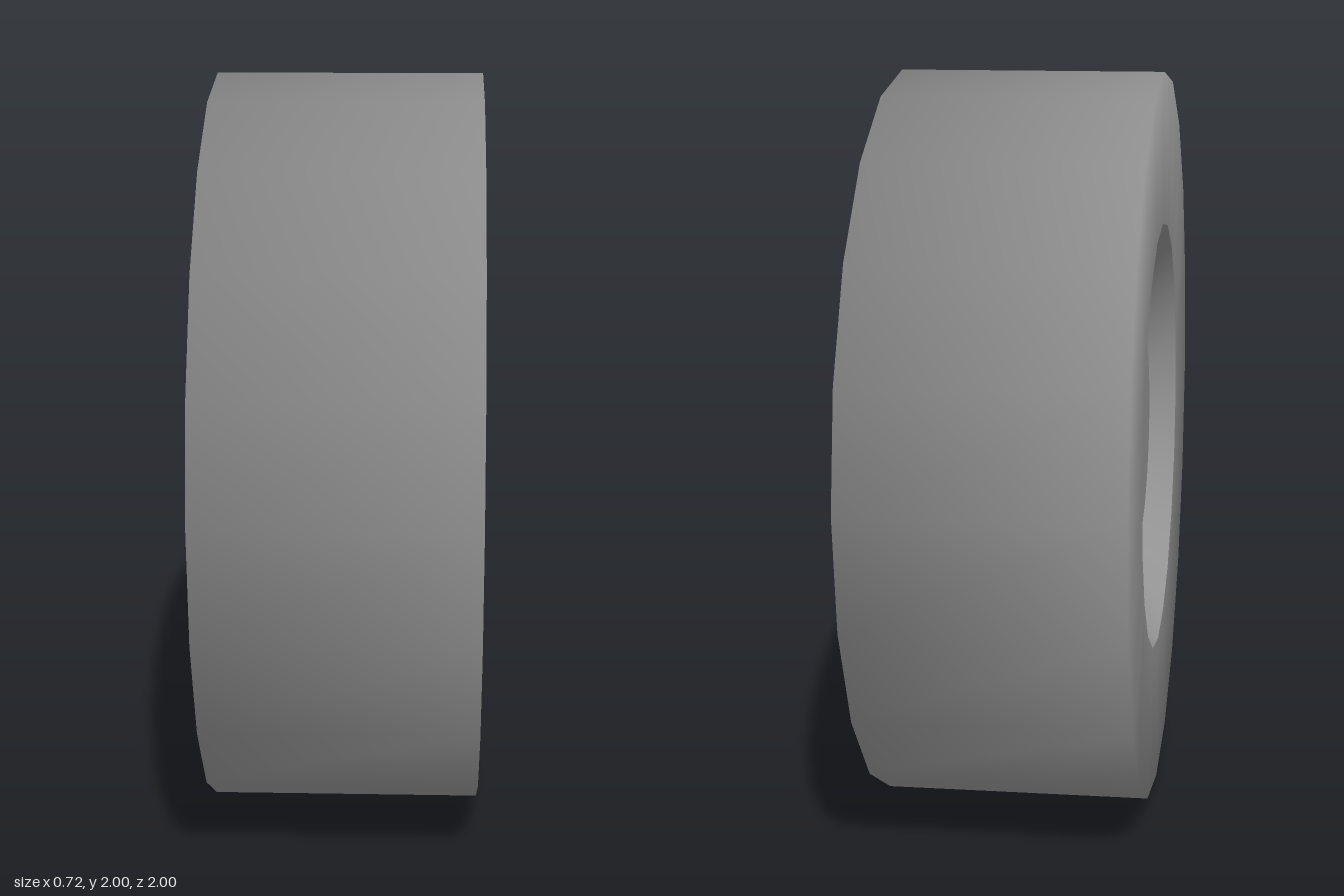
import * as THREE from 'three';

const SIDES = 20;
const HALF_WIDTH = 0.358;
const GROOVE = 0.205;
const CAP = 0.303;
const material = new THREE.MeshStandardMaterial({ color: 0x9d9d9d });

// Revolve [radius, height] points; separate lathes meet in sharp creases.
function ring(name, points) {
  const profile = points.map(([r, h]) => new THREE.Vector2(r, h));
  const mesh = new THREE.Mesh(new THREE.LatheGeometry(profile, SIDES), material);
  mesh.name = name;
  return mesh;
}

// Lean the shoulder normals towards the sidewall for a soft, flat-sided tyre.
function softenShoulders({ attributes: { position, normal } }) {
  const n = new THREE.Vector3();
  for (let i = 0; i < position.count; i++) {
    n.fromBufferAttribute(position, i);
    if (Math.hypot(n.x, n.z) < 0.9) continue;
    n.y = 1.5 * Math.sign(n.y);
    n.normalize();
    normal.setXYZ(i, n.x, n.y, n.z);
  }
}

export function createModel() {
  const wheel = new THREE.Group();
  wheel.name = 'wheel';

  // Tyre: tread and both sidewalls, shaded smoothly over the shoulders
  const tyre = ring('tyre', [
    [0.59, -HALF_WIDTH], [1, -HALF_WIDTH], [1, HALF_WIDTH], [0.59, HALF_WIDTH],
  ]);
  softenShoulders(tyre.geometry);
  tyre.rotation.z = -Math.PI / 2;
  wheel.add(tyre);

  // Rim on each side: sloping recess, raised hub cone and flat hub cap
  for (const side of [1, -1]) {
    const rim = new THREE.Group();
    rim.name = side > 0 ? 'leftRim' : 'rightRim';
    rim.add(
      ring('rimSlope', [[0.59, HALF_WIDTH], [0.42, GROOVE]]),
      ring('hubCone', [[0.42, GROOVE], [0.297, CAP]]),
      ring('hubCap', [[0.297, CAP], [0, CAP]]),
    );
    rim.rotation.z = -side * Math.PI / 2;
    wheel.add(rim);
  }

  wheel.position.y = 1;
  const model = new THREE.Group();
  model.add(wheel);
  return model;
}
